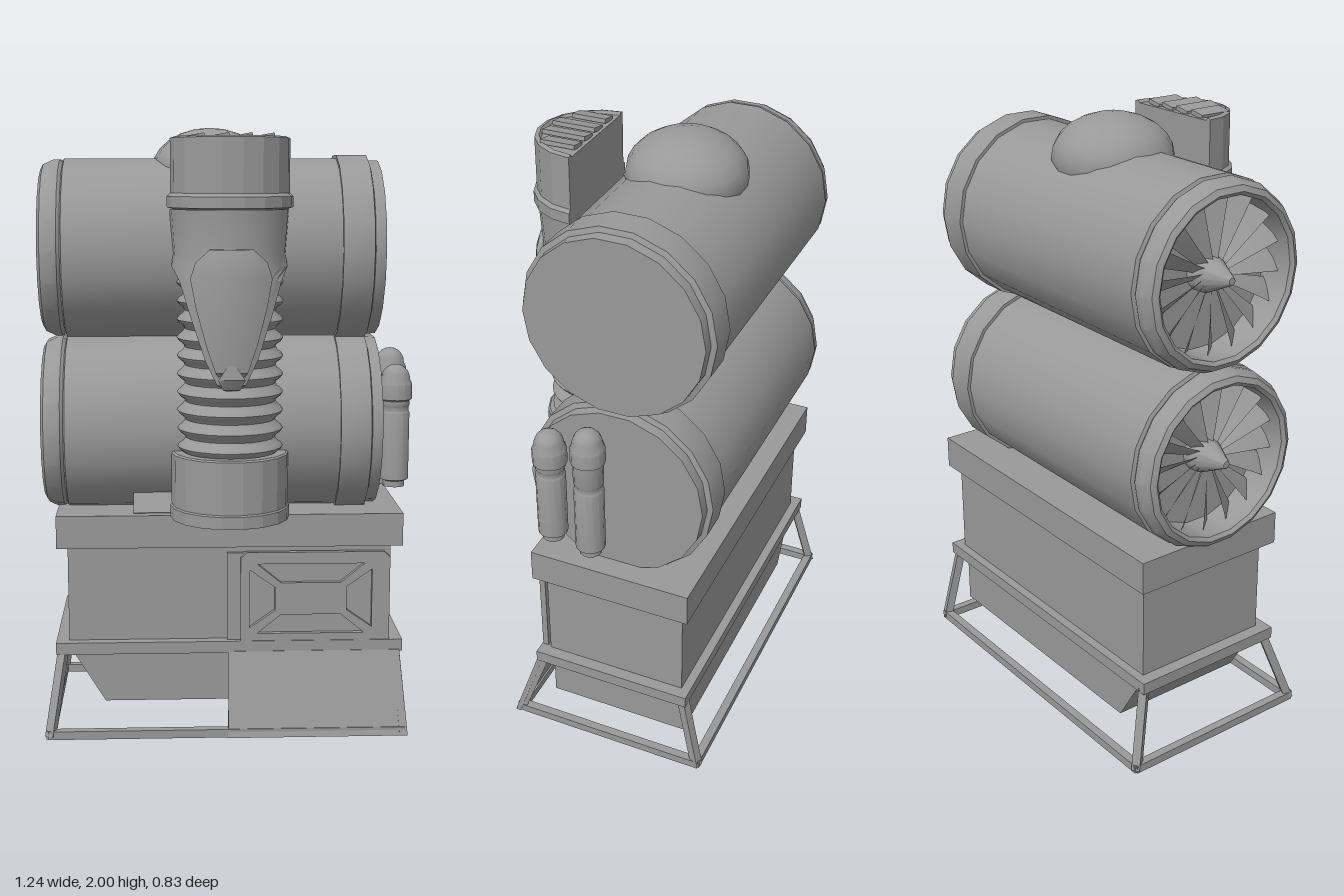
import * as THREE from 'three';
import { toCreasedNormals } from 'three/addons/utils/BufferGeometryUtils.js';

const mat = new THREE.MeshStandardMaterial({ color: 0x999999 });
const thin = new THREE.MeshStandardMaterial({ color: 0x999999, side: THREE.DoubleSide });
const pts = (list) => list.map(([x, y]) => new THREE.Vector2(x, y));

function add(parent, name, geo, x = 0, y = 0, z = 0, material = mat) {
  const m = new THREE.Mesh(geo, material);
  m.name = name;
  m.position.set(x, y, z);
  parent.add(m);
  return m;
}

// Box given by its limits on each axis
function box(parent, name, x0, x1, y0, y1, z0, z1) {
  return add(parent, name, new THREE.BoxGeometry(x1 - x0, y1 - y0, z1 - z0),
    (x0 + x1) / 2, (y0 + y1) / 2, (z0 + z1) / 2);
}

// Square bar between two points
function bar(parent, name, a, b, t) {
  const p = new THREE.Vector3(...a), q = new THREE.Vector3(...b);
  const m = add(parent, name, new THREE.BoxGeometry(t, t, p.distanceTo(q) + t * 0.6));
  m.position.copy(p).add(q).multiplyScalar(0.5);
  m.lookAt(q);
}

const lathe = (profile, segs, crease = 0.5) =>
  toCreasedNormals(new THREE.LatheGeometry(pts(profile), segs), crease);

// Half-round column with a flat back, profile as [radius, y] from bottom to top
function halfColumn(parent, name, profile, segs, crease) {
  const g = new THREE.Group();
  g.name = name;
  g.position.set(0.008, 0, 0.2);
  const lg = new THREE.LatheGeometry(pts(profile), segs, -Math.PI / 2, Math.PI);
  add(g, name + 'Front', toCreasedNormals(lg, crease));
  const outline = [...profile, ...profile.slice(1, -1).reverse().map(([r, y]) => [-r, y])];
  add(g, name + 'Back', new THREE.ShapeGeometry(new THREE.Shape(pts(outline))), 0, 0, 0, thin);
  parent.add(g);
}

// Curved plate around the column; rows are [y, outer radius, inner radius, half angle]
function arcPlate(parent, name, rows, n) {
  const pos = [], idx = [], w = 2 * (n + 1);
  rows.forEach(([y, ro, ri, h]) => {
    for (let k = 0; k < w; k++) {
      const out = k <= n, t = out ? k / n : (w - 1 - k) / n;
      const a = (t * 2 - 1) * h, r = out ? ro : ri;
      pos.push(Math.sin(a) * r, y, Math.cos(a) * r);
    }
  });
  for (let j = 0; j < rows.length - 1; j++) {
    for (let k = 0; k < w; k++) {
      const a = j * w + k, b = j * w + (k + 1) % w;
      idx.push(a, b, b + w, a, b + w, a + w);
    }
  }
  const g = new THREE.BufferGeometry();
  g.setAttribute('position', new THREE.Float32BufferAttribute(pos, 3));
  g.setIndex(idx);
  add(parent, name, toCreasedNormals(g, 0.6), 0.005, 0, 0.2, thin);
}

// Horizontal drum with a fan intake at the -x end
function drum(y) {
  const g = new THREE.Group();
  g.name = 'drum';
  g.position.set(0, y, -0.083);
  g.rotation.z = -Math.PI / 2;
  add(g, 'drumShell', lathe([
    [0, -0.49], [0.245, -0.49], [0.25, -0.6], [0.262, -0.61], [0.28, -0.6], [0.296, -0.565],
    [0.296, -0.545], [0.288, -0.535], [0.3, -0.53], [0.3, 0.37], [0.311, 0.37],
    [0.311, 0.47], [0.294, 0.475], [0.292, 0.51], [0, 0.51]], 18));
  add(g, 'fanSpinner', lathe([[0, -0.625], [0.012, -0.622], [0.062, -0.52], [0.062, -0.48]], 14));
  // Pitched blades that widen toward the rim
  for (let i = 0; i < 16; i++) {
    const blade = new THREE.PlaneGeometry(0.2, 1, 4, 1);
    const p = blade.attributes.position;
    for (let v = 0; v < p.count; v++) {
      const r = p.getX(v) + 0.147, c = p.getY(v) * (0.025 + r * 0.25), pitch = 0.95 - r;
      p.setXYZ(v, r, c * Math.sin(pitch), c * Math.cos(pitch));
    }
    blade.computeVertexNormals();
    add(g, 'fanBlade', blade, 0, -0.53, 0, thin).rotation.y = (i / 16) * Math.PI * 2;
  }
  return g;
}

function bottle(parent, z, y0, y1) {
  const c = y1 - 0.065;
  const cap = [0, 0.3, 0.6, 0.9, 1.2, Math.PI / 2].map((a) => [0.048 * Math.cos(a), c + 0.015 + 0.05 * Math.sin(a)]);
  add(parent, 'bottle', lathe([
    [0, y0], [0.036, y0], [0.036, y0 + 0.02], [0.048, y0 + 0.025], [0.048, y0 + 0.25], [0.045, y0 + 0.255],
    [0.045, y0 + 0.27], [0.048, y0 + 0.275], [0.048, c - 0.055], [0.055, c - 0.05], [0.055, c],
    ...cap], 14, 0.6), 0.561, 0, z);
  box(parent, 'bottleBracket', 0.48, 0.56, y0 + 0.1, y0 + 0.16, z - 0.02, z + 0.02);
}

export function createModel() {
  const model = new THREE.Group();
  model.name = 'airUnit';

  // Base cabinet
  box(model, 'topSlab', -0.565, 0.585, 0.63, 0.74, -0.36, 0.19);
  box(model, 'cabinet', -0.53, 0.55, 0.3, 0.64, -0.33, 0.155);
  box(model, 'lowerBand', -0.572, 0.59, 0.265, 0.305, -0.36, 0.19);
  const hopper = new THREE.Shape(pts([[-0.41, 0.09], [0.53, 0.09], [0.53, 0.27], [-0.52, 0.27]]));
  add(model, 'hopper', new THREE.ExtrudeGeometry(hopper, { depth: 0.485, bevelEnabled: false }), 0, 0, -0.33);

  // Door with braced front
  box(model, 'doorBack', 0, 0.52, 0.3, 0.605, 0.15, 0.17);
  const door = new THREE.Shape(pts([[0.045, 0.27], [0.545, 0.27], [0.545, 0.59], [0.525, 0.61], [0.065, 0.61], [0.045, 0.59]]));
  const cx = 0.28, cy = 0.45;
  for (const s of [-1, 1]) {
    door.holes.push(new THREE.Path(pts([[-0.18, 0.12], [0.18, 0.12], [0.1, 0.055], [-0.1, 0.055]]
      .map(([x, y]) => [cx + x, cy + s * y]))));
    door.holes.push(new THREE.Path(pts([[0.205, 0.1], [0.205, -0.1], [0.12, -0.04], [0.12, 0.04]]
      .map(([x, y]) => [cx + s * x, cy + y]))));
  }
  add(model, 'doorBrace', new THREE.ExtrudeGeometry(door, { depth: 0.02, bevelEnabled: false }), 0, 0, 0.167);

  // Splayed stand and its front skirt
  const foot = [[-0.589, 0.262], [0.583, 0.262], [0.583, -0.4], [-0.589, -0.4]];
  const head = [[-0.55, 0.17], [0.565, 0.17], [0.565, -0.342], [-0.55, -0.342]];
  foot.forEach(([x, z], i) => {
    const [nx, nz] = foot[(i + 1) % 4];
    bar(model, 'standRail', [x, 0.014, z], [nx, 0.014, nz], 0.028);
    bar(model, 'standLeg', [x, 0.014, z], [head[i][0], 0.27, head[i][1]], 0.028);
  });
  const skirt = new THREE.ExtrudeGeometry(
    new THREE.Shape(pts([[0, 0], [0.6, 0], [0.58, 0.27], [0.005, 0.27]])), { depth: 0.018, bevelEnabled: false });
  const sp = skirt.attributes.position;
  for (let i = 0; i < sp.count; i++) sp.setZ(i, sp.getZ(i) + 0.264 - sp.getY(i) * 0.335);
  skirt.computeVertexNormals();
  add(model, 'skirt', skirt);

  // Two drums with a dome on the upper one
  model.add(drum(1.015), drum(1.604));
  const dome = add(model, 'dome', new THREE.SphereGeometry(0.194, 18, 12), -0.048, 1.862, -0.08);
  dome.scale.y = 0.71;

  // Bottles at the closed end and a small leaning connector on the slab
  bottle(model, 0.115, 0.82, 1.23);
  bottle(model, -0.017, 0.8, 1.27);
  const connector = box(model, 'connector', -0.31, -0.18, 0.72, 0.86, 0.07, 0.13);
  connector.rotation.x = -0.5;

  // Half-round intake column: foot, bellows and head
  halfColumn(model, 'columnFoot', [[0, 0.74], [0.195, 0.74], [0.195, 0.78], [0.191, 0.785], [0.191, 0.955], [0.185, 0.96], [0, 0.96]], 9, 0.3);
  const folds = [[0, 0.95]];
  for (let i = 0; i <= 66; i++) folds.push([0.159 - 0.013 * Math.cos(i * Math.PI / 3), 0.95 + i * 0.0098]);
  folds.push([0, 1.5968]);
  halfColumn(model, 'bellows', folds, 14, 0.9);
  halfColumn(model, 'columnHead', [[0, 1.56], [0.15, 1.56], [0.184, 1.74], [0.201, 1.745], [0.201, 1.78], [0.19, 1.79],
    [0.19, 1.96], [0.176, 1.965], [0.17, 1.955], [0, 1.955]], 9, 0.3);

  // Mantle hanging over the bellows, with a raised shield and tip
  const q = Math.PI / 2;
  arcPlate(model, 'mantle', [[1.19, 0.165, 0.165, 0.2], [1.2, 0.185, 0.165, 0.25], [1.28, 0.196, 0.15, 0.44], [1.42, 0.197, 0.14, 0.72],
    [1.52, 0.193, 0.14, 0.98], [1.56, 0.187, 0.14, 1.4], [1.6, 0.18, 0.14, q], [1.74, 0.19, 0.14, q], [1.74, 0.14, 0.14, q]], 12);
  arcPlate(model, 'shield', [[1.22, 0.18, 0.18, 0.2], [1.24, 0.203, 0.17, 0.25], [1.32, 0.21, 0.17, 0.38], [1.44, 0.211, 0.17, 0.55],
    [1.53, 0.208, 0.17, 0.66], [1.58, 0.203, 0.17, 0.58], [1.62, 0.19, 0.17, 0.36], [1.62, 0.17, 0.17, 0.36]], 8);
  arcPlate(model, 'shieldTip', [[1.18, 0.17, 0.17, 0.1], [1.185, 0.19, 0.165, 0.14], [1.22, 0.212, 0.165, 0.2],
    [1.265, 0.208, 0.165, 0.06], [1.265, 0.165, 0.165, 0.06]], 4);

  // Tilted slats on the column head
  [-0.103, -0.028, 0.043, 0.113].forEach((x, i) => {
    const len = i === 0 || i === 3 ? 0.115 : 0.145;
    const s = add(model, 'slat', new THREE.BoxGeometry(0.055, 0.014, len), x, 1.962, 0.21 + len / 2);
    s.rotation.z = 0.18;
  });
  return model;
}
